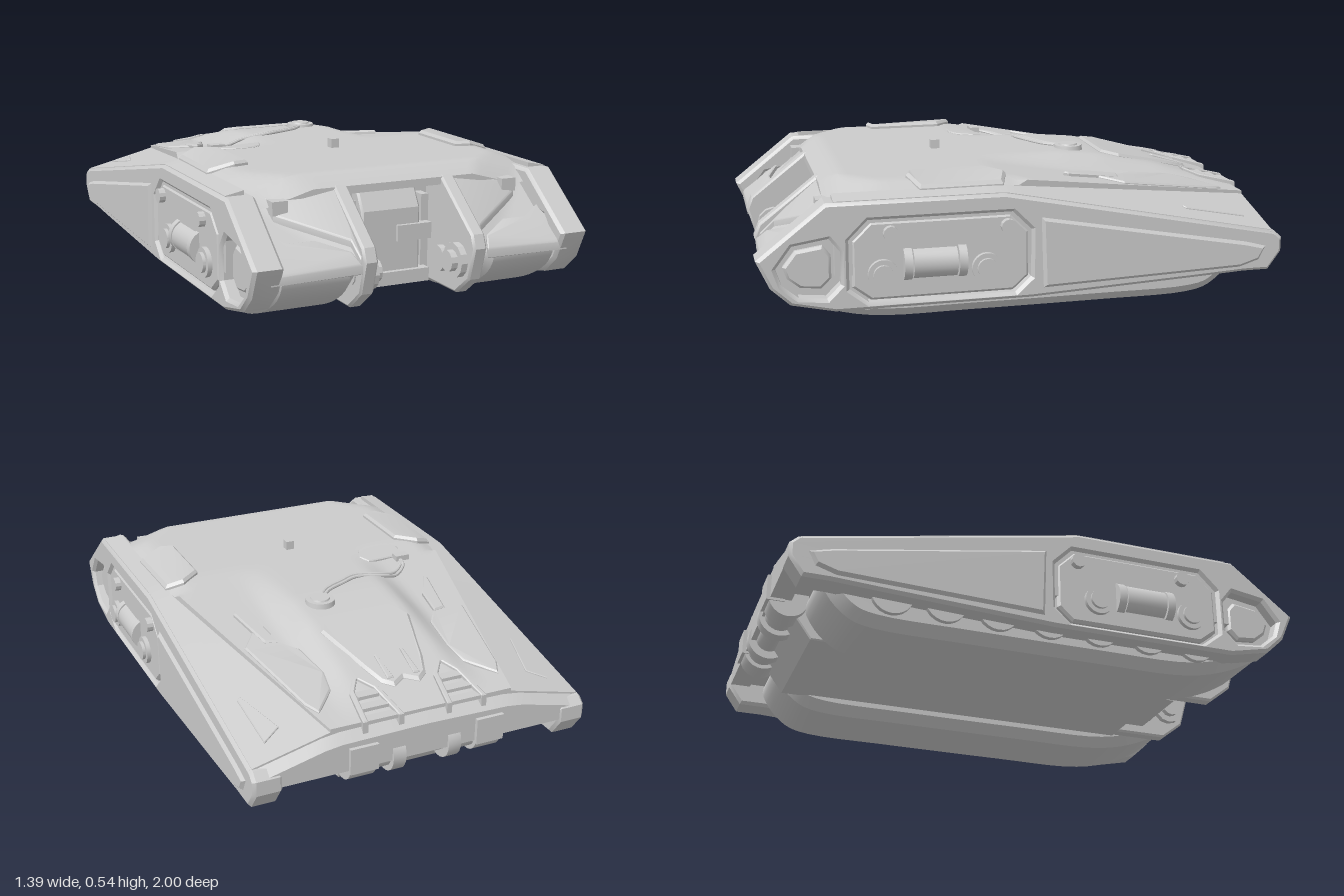
import * as THREE from 'three';
import { toCreasedNormals } from 'three/addons/utils/BufferGeometryUtils.js';

const material = new THREE.MeshStandardMaterial({ color: 0xcccccc });
const { lerp, smoothstep } = THREE.MathUtils;

// Piecewise linear value through [t, value] pairs, t falling
function along(pts, t) {
  for (let i = 1; i < pts.length; i++) {
    const [a, va] = pts[i - 1], [b, vb] = pts[i];
    if (t >= b) return t >= a ? va : lerp(va, vb, (a - t) / (a - b));
  }
  return pts[pts.length - 1][1];
}

// Height rules of the upper armour
const deckWidth = z => along([[0.1, 0.59], [-0.95, 0.36]], z);
function deckY(x, z) {
  const ax = Math.abs(x);
  const base = along([[0.68, 0.51], [0.1, 0.51], [-0.95, 0.35]], z);
  const swell = along([[0.1, 0], [-0.25, 0.052], [-0.4, 0.06], [-0.65, 0.044], [-0.95, 0]], z);
  const hump = swell * (1 - smoothstep(ax, 0.18, 0.31));
  const chamfer = z > 0 ? Math.max(0, ax - 0.52, (ax - 0.4 + z - 0.66) * 0.7) * 0.4 : 0;
  const nose = Math.max(0, z - 0.68) * 0.75;
  return base + hump - Math.min(chamfer, 0.05) - nose;
}
// Wings fall from the deck crease to a low outer edge
function wingY(x, z) {
  const w = deckWidth(z), outer = along([[0.1, 0.473], [-0.97, 0.262]], z);
  return lerp(along([[0.1, 0.485], [-0.95, 0.338]], z), outer, (Math.abs(x) - w) / (0.65 - w));
}
const lipY = (x, z) =>
  along([[0.655, 0.262], [0.36, 0.335], [0, 0.342]], Math.abs(x)) - Math.max(0, -0.945 - z) * 0.9;

// Box whose vertices are moved onto top and bottom height rules
function shell(x0, x1, z0, z1, top, bottom, nx, nz) {
  const g = new THREE.BoxGeometry(1, 1, 1, nx, 1, nz), p = g.attributes.position;
  for (let i = 0; i < p.count; i++) {
    const z = lerp(z0, z1, p.getZ(i) + 0.5);
    const x = lerp(x0(z), x1(z), p.getX(i) + 0.5);
    p.setXYZ(i, x, p.getY(i) > 0 ? top(x, z) : bottom(x, z), z);
  }
  return g;
}

const toShape = pts => new THREE.Shape(pts.map(([a, b]) => new THREE.Vector2(a, b)));

// Side profile of [z, y] points, extruded from x0 to x1
function profile(pts, x0, x1, bevel = 0.01, holes = []) {
  const s = toShape(pts);
  s.holes = holes.map(toShape);
  return new THREE.ExtrudeGeometry(s, {
    depth: x1 - x0 - 2 * bevel, bevelEnabled: bevel > 0, bevelThickness: bevel,
    bevelSize: bevel, bevelOffset: -bevel, bevelSegments: 1,
  }).rotateY(-Math.PI / 2).translate(x1 - bevel, 0, 0);
}

// Plate outlined by [x, z] points, laid on a height rule
function drape(pts, h, rule = deckY, bevel = 0.01) {
  const g = new THREE.ExtrudeGeometry(toShape(pts.map(([x, z]) => [x, -z])), {
    depth: 0.04 + h - 2 * bevel, bevelThickness: bevel, bevelSize: bevel, bevelOffset: -bevel, bevelSegments: 1,
  }).rotateX(-Math.PI / 2).translate(0, bevel - 0.04, 0);
  const p = g.attributes.position;
  for (let i = 0; i < p.count; i++) p.setY(i, p.getY(i) + rule(p.getX(i), p.getZ(i)));
  return g;
}

const box = (w, h, d, x, y, z) => new THREE.BoxGeometry(w, h, d).translate(x, y, z);
const drumX = (r, len, x, y, z, n = 24) =>
  new THREE.CylinderGeometry(r, r, len, n).rotateZ(Math.PI / 2).translate(x, y, z);
const drumZ = (r, len, x, y, z, n = 24) =>
  new THREE.CylinderGeometry(r, r, len, n).rotateX(Math.PI / 2).translate(x, y, z);

// Mirror across x = 0, keeping faces outward
function mirrored(geo) {
  const g = geo.index ? geo.toNonIndexed() : geo.clone();
  const p = g.attributes.position, a = new THREE.Vector3(), b = new THREE.Vector3();
  g.scale(-1, 1, 1);
  for (let i = 0; i < p.count; i += 3) {
    a.fromBufferAttribute(p, i + 1);
    b.fromBufferAttribute(p, i + 2);
    p.setXYZ(i + 1, b.x, b.y, b.z);
    p.setXYZ(i + 2, a.x, a.y, a.z);
  }
  return g;
}

export function createModel() {
  const model = new THREE.Group();
  model.name = 'trackedArmouredHull';
  const add = (name, geo) => {
    const mesh = new THREE.Mesh(toCreasedNormals(geo, 0.5), material);
    mesh.name = name;
    model.add(mesh);
  };
  const pair = (name, geo) => {
    add(name + 'Left', geo);
    add(name + 'Right', mirrored(geo));
  };

  // Upper hull: deck, wings, front prongs with a sunken groove, rear lip
  add('deck', shell(z => -deckWidth(z), deckWidth, -0.95, 0.735, deckY,
    (x, z) => z > 0.6 ? 0.44 : 0.22, 40, 50));
  pair('wing', shell(z => deckWidth(z) - 0.01, () => 0.65, -0.95, 0.72, wingY, () => 0.2, 4, 24));
  pair('frontProng', shell(() => 0.2, () => 0.595, 0.6, 0.955, (x, z) => deckY(x, z) - 0.025, () => 0.25, 12, 16));
  pair('prongInnerFlange', profile([[0.6, 0.06], [0.85, 0.06], [0.94, 0.13], [0.975, 0.25], [0.955, 0.3],
    [0.73, 0.475], [0.6, 0.49]], 0.19, 0.245, 0.008));
  pair('prongUpperArmour', drape([[0.2, 0.7], [0.2, 0.955], [0.25, 0.955], [0.26, 0.9], [0.49, 0.76], [0.5, 0.7]], 0, deckY, 0.004));
  pair('prongLowerArmour', drape([[0.25, 0.97], [0.27, 0.925], [0.38, 0.86], [0.48, 0.86], [0.59, 0.8], [0.59, 0.97]], 0, deckY, 0.006));
  pair('headlamp', box(0.06, 0.05, 0.1, 0.465, 0.42, 0.715));
  add('rearLip', shell(() => -0.655, () => 0.655, -0.985, -0.905, lipY, () => 0.19, 20, 2));

  // Belly and the recess between the prongs
  add('belly', profile([[0.63, 0.06], [0.63, 0.44], [-0.9, 0.3], [-0.93, 0.21], [-0.82, 0.06]], -0.27, 0.27, 0.005));
  add('recessBlock', profile([[0.6, 0.07], [0.71, 0.12], [0.71, 0.36], [0.67, 0.43], [0.6, 0.43]], -0.12, 0.12, 0.008));
  add('recessSill', box(0.3, 0.05, 0.12, 0, 0.105, 0.67));
  add('recessLatch', box(0.14, 0.06, 0.05, 0.09, 0.27, 0.7));
  pair('recessStrut', box(0.03, 0.3, 0.08, 0.15, 0.25, 0.65));
  for (const [r, len, y, z] of [[0.065, 0.06, 0.19, 0.87], [0.04, 0.11, 0.19, 0.87], [0.05, 0.06, 0.17, 0.76]])
    pair('prongBoss', drumX(r, len, 0.195, y, z, 12));

  // Tracks and road wheels
  const belt = new THREE.SplineCurve([[0.86, 0.3], [0.95, 0.24], [0.915, 0.145], [0.76, 0.055], [0.55, 0.006],
    [0.2, 0.002], [-0.3, 0.002], [-0.64, 0.006], [-0.77, 0.05], [-0.85, 0.16], [-0.82, 0.24]]
    .map(p => new THREE.Vector2(...p))).getPoints(44).map(v => [v.x, Math.max(v.y, 0)]);
  pair('track', profile(belt, 0.25, 0.58, 0.038));
  for (let i = 0; i < 7; i++) pair('roadWheel', drumX(0.08, 0.05, 0.575, 0.13, 0.6 - i * 0.2));

  // Side skirts with a nose port and an equipment bay
  const outline = [[0.998, 0.275], [0.75, 0.47], [0.1, 0.47], [-0.96, 0.262], [-0.99, 0.235], [-0.99, 0.18], [-0.94, 0.11],
    [-0.84, 0.11], [-0.65, 0.1], [0, 0.07], [0.72, 0.07], [0.88, 0.105], [0.95, 0.17]];
  const nosePort = [[0.93, 0.24], [0.87, 0.32], [0.74, 0.34], [0.7, 0.29], [0.7, 0.17], [0.75, 0.12], [0.85, 0.13], [0.91, 0.18]];
  const bay = [[0.67, 0.33], [0.6, 0.4], [0.07, 0.4], [0, 0.33], [0, 0.15], [0.06, 0.095], [0.6, 0.095], [0.67, 0.15]];
  const rearPanel = [[-0.03, 0.38], [-0.84, 0.235], [-0.93, 0.21], [-0.9, 0.15], [-0.82, 0.125], [-0.04, 0.1]];
  pair('sideSkirt', profile(outline, 0.55, 0.662, 0.012, [nosePort, bay]));
  pair('skirtBacking', profile(outline.map(([z, y]) => [z * 0.97, lerp(0.23, y, 0.9)]), 0.56, 0.61, 0));
  pair('bayPlate', profile(bay.map(([z, y]) => [lerp(0.335, z, 0.97), lerp(0.25, y, 0.95)]), 0.6, 0.656));
  pair('rearSidePanel', profile(rearPanel, 0.6, 0.674, 0.018));
  pair('nosePortPlate', profile(nosePort.map(([z, y]) => [lerp(0.82, z, 0.75), lerp(0.23, y, 0.72)]), 0.6, 0.632));

  // Side machinery in the bay
  pair('bayCylinder', drumZ(0.06, 0.16, 0.632, 0.23, 0.36));
  for (const z of [0.26, 0.46]) pair('bayCylinderCollar', drumZ(0.066, 0.03, 0.628, 0.23, z));
  for (const z of [0.55, 0.17]) {
    pair('bayHub', drumX(0.055, 0.07, 0.638, 0.2, z));
    pair('bayHubCap', drumX(0.037, 0.08, 0.645, 0.2, z));
  }
  for (const z of [0.52, 0.09]) pair('bayBolt', drumX(0.028, 0.06, 0.65, 0.35, z, 12));

  // Deck plates and vents
  pair('sideDeckPlate', drape([[0.44, 0.13], [0.52, 0.065], [0.59, 0.09], [0.595, 0.4], [0.5, 0.435], [0.44, 0.42]], 0.019));
  pair('enginePlate', drape([[0.36, -0.86], [0.27, -0.76], [0.255, -0.67], [0.275, -0.5], [0.33, -0.42], [0.37, -0.3],
    [0.46, -0.42], [0.39, -0.8]], 0.009, deckY, 0.006));
  pair('engineGrille', drape([[0.33, -0.43], [0.345, -0.3], [0.41, -0.19], [0.42, -0.21], [0.38, -0.42]], 0.016, deckY, 0.006));
  pair('wingVent', drape([[0.57, -0.87], [0.5, -0.83], [0.56, -0.62], [0.575, -0.63]], 0.006, wingY, 0.003));
  add('engineCover', drape([[0, -0.8], [0.05, -0.83], [0.09, -0.8], [0.12, -0.72], [0.185, -0.49], [0.15, -0.42],
    [-0.15, -0.42], [-0.185, -0.49], [-0.12, -0.72], [-0.09, -0.8], [-0.05, -0.83]], 0.012));
  pair('engineCoverRib', drape([[0.04, -0.8], [0.065, -0.8], [0.06, -0.68], [0.05, -0.67]], 0.018, deckY, 0.004));

  // Exhaust scoops: rim and stepped louvres
  pair('scoopCheek', drape([[0.225, -0.97], [0.245, -0.97], [0.225, -0.82], [0.19, -0.765], [0.17, -0.765], [0.205, -0.82]], 0.012, deckY, 0.004));
  pair('scoopInnerCheek', drape([[0.085, -0.97], [0.105, -0.97], [0.13, -0.82], [0.17, -0.765], [0.15, -0.765], [0.11, -0.82]], 0.012, deckY, 0.004));
  for (let i = 0; i < 3; i++)
    pair('scoopLouvre', box(0.13 - i * 0.025, 0.014, 0.04, 0.167, 0.351 + i * 0.0165, -0.945 + i * 0.055));

  // Rear cylinder stack under the lip
  for (const [r, len, x] of [[0.075, 0.1, 0.25], [0.06, 0.08, 0.17], [0.08, 0.05, 0.11], [0.05, 0.12, 0.05]])
    pair('rearDrum', drumX(r, len, x, 0.2, -0.915));
  pair('rearDrumMount', box(0.11, 0.1, 0.07, 0.25, 0.23, -0.965));

  // Small fittings on the deck
  const disc = deckY(0.1, -0.3);
  add('periscopeBase', new THREE.CylinderGeometry(0.055, 0.06, 0.03, 28).translate(0.1, disc, -0.3));
  add('periscopeCap', new THREE.CylinderGeometry(0.035, 0.04, 0.012, 28).translate(0.1, disc + 0.015, -0.3));
  add('deckStud', box(0.034, 0.05, 0.034, 0, 0.52, 0.23));
  add('roundedHatch', drape([[-0.42, 0], [-0.25, -0.02], [-0.225, 0.02], [-0.25, 0.085], [-0.29, 0.11], [-0.37, 0.11], [-0.42, 0.08]], 0.005, deckY, 0.004));
  add('pipeSocket', box(0.06, 0.03, 0.04, -0.395, deckY(-0.395, -0.02) + 0.004, -0.02));
  const run = [[-0.39, -0.02], [-0.375, -0.08], [-0.31, -0.14], [-0.24, -0.16], [-0.12, -0.16], [-0.05, -0.19], [0.03, -0.23], [0.07, -0.27]];
  for (const shift of [0, 0.02]) {
    const path = new THREE.CatmullRomCurve3(run.map(([x, z]) => new THREE.Vector3(x, deckY(x, z + shift) + 0.004, z + shift)));
    add('deckPipe', new THREE.TubeGeometry(path, 40, 0.007, 8));
  }
  return model;
}
